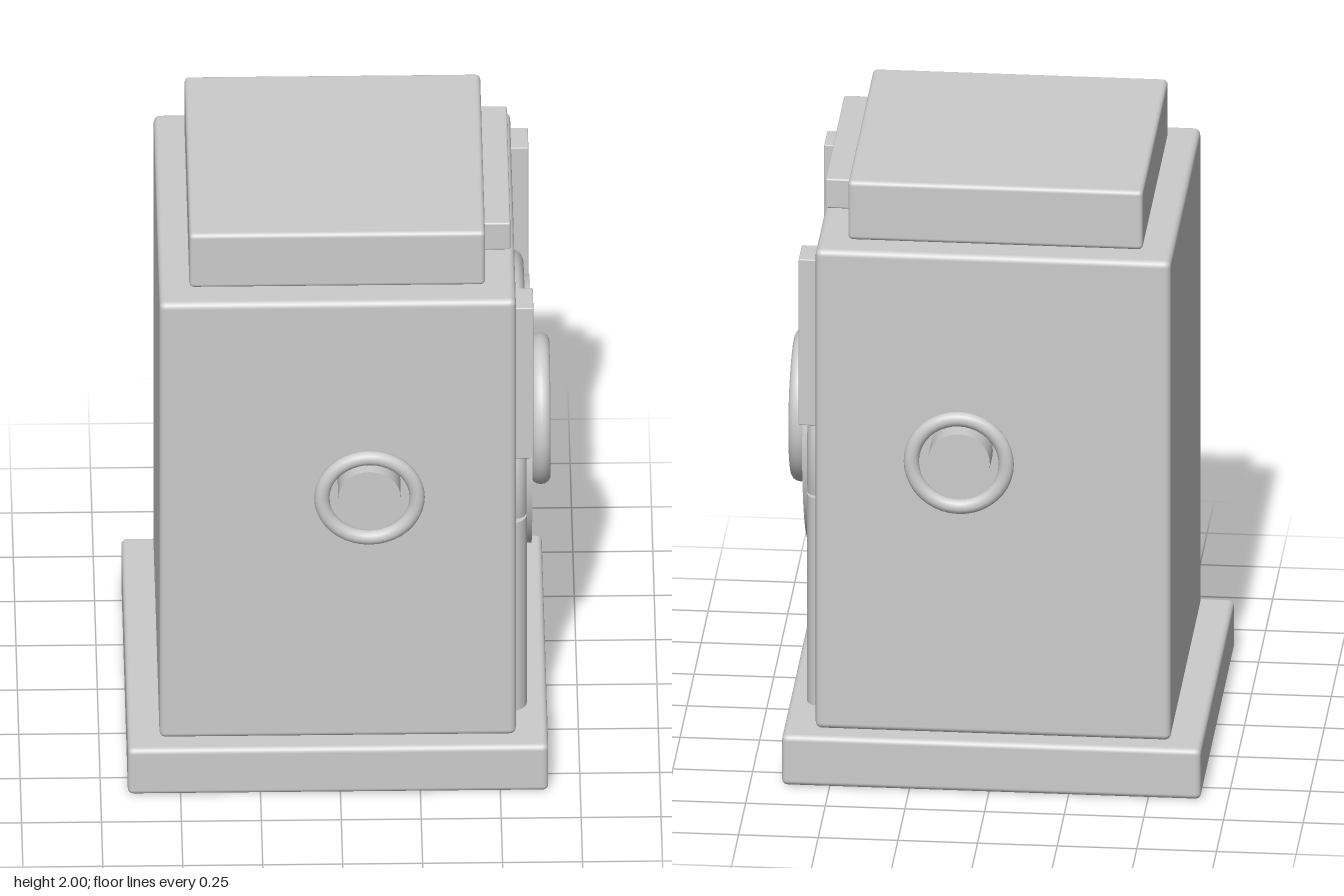
import * as THREE from 'three';
import { RoundedBoxGeometry } from 'three/addons/geometries/RoundedBoxGeometry.js';

export function createModel() {
  const model = new THREE.Group();
  model.name = 'safe';
  const grey = new THREE.MeshStandardMaterial({ color: 0xcccccc });
  grey.name = 'light grey';

  function add(name, geometry, x = 0, y = 0, z = 0) {
    const mesh = new THREE.Mesh(geometry, grey);
    mesh.name = name;
    mesh.position.set(x, y, z);
    model.add(mesh);
    return mesh;
  }

  // Box given by its limits; radius 0 keeps the edges sharp
  function block(name, [x0, x1], [y0, y1], [z0, z1], radius = 0) {
    const size = [x1 - x0, y1 - y0, z1 - z0];
    const geometry = radius
      ? new RoundedBoxGeometry(...size, 3, radius)
      : new THREE.BoxGeometry(...size);
    return add(name, geometry, (x0 + x1) / 2, (y0 + y1) / 2, (z0 + z1) / 2);
  }

  // Oval ring facing +x, with outer half height 1.1 times its half width
  function ovalRing(name, major, tube, depth, x, y) {
    const geometry = new THREE.TorusGeometry(major, tube, 14, 48);
    geometry.scale(1, 1.1, depth / tube).rotateY(Math.PI / 2);
    return add(name, geometry, x, y, 0);
  }

  // Plinth, main body and cap
  block('base', [-0.665, 0.65], [0, 0.17], [-0.604, 0.602], 0.018);
  block('body', [-0.565, 0.55], [0.17, 1.8], [-0.542, 0.54], 0.02);
  block('cap', [-0.47, 0.455], [1.8, 2], [-0.453, 0.45], 0.015);
  block('capBar', [0.44, 0.536], [1.855, 1.955], [-0.333, 0.331], 0.006);

  // Oval door with a rim behind it
  const doorY = 1.04;
  ovalRing('doorRim', 0.426, 0.039, 0.036, 0.55, doorY);
  const door = new THREE.CylinderGeometry(1, 1, 0.08, 40);
  door.rotateZ(-Math.PI / 2).scale(1, 0.432, 0.394);
  add('door', door, 0.564, doorY, 0);

  // Hand wheel and its spokes
  ovalRing('handWheel', 0.199, 0.023, 0.03, 0.635, doorY);
  block('wheelSpokeVertical', [0.59, 0.64], [doorY - 0.21, doorY + 0.21], [-0.022, 0.022]);
  block('wheelSpokeHorizontal', [0.59, 0.64], [doorY - 0.022, doorY + 0.022], [-0.19, 0.19]);

  for (const side of [1, -1]) {
    // Upper flat strip and lower rounded post beside the door
    const z = side * 0.453;
    block('upperStrip', [0.54, 0.605], [1.19, 1.755], [z - 0.058, z + 0.058], 0.004);
    add('lowerPost', new THREE.CylinderGeometry(0.053, 0.053, 0.705, 24), 0.533, 0.573, side * 0.425);

    // Pipe stub with a ring around its end
    const stub = new THREE.CylinderGeometry(0.098, 0.098, 0.15, 32);
    stub.rotateX(Math.PI / 2);
    add('sideStub', stub, 0.09, 1.14, side * 0.575);
    add('sideRing', new THREE.TorusGeometry(0.149, 0.024, 14, 40), 0.09, 1.14, side * 0.646)
      .scale.z = 0.9;
  }

  return model;
}
